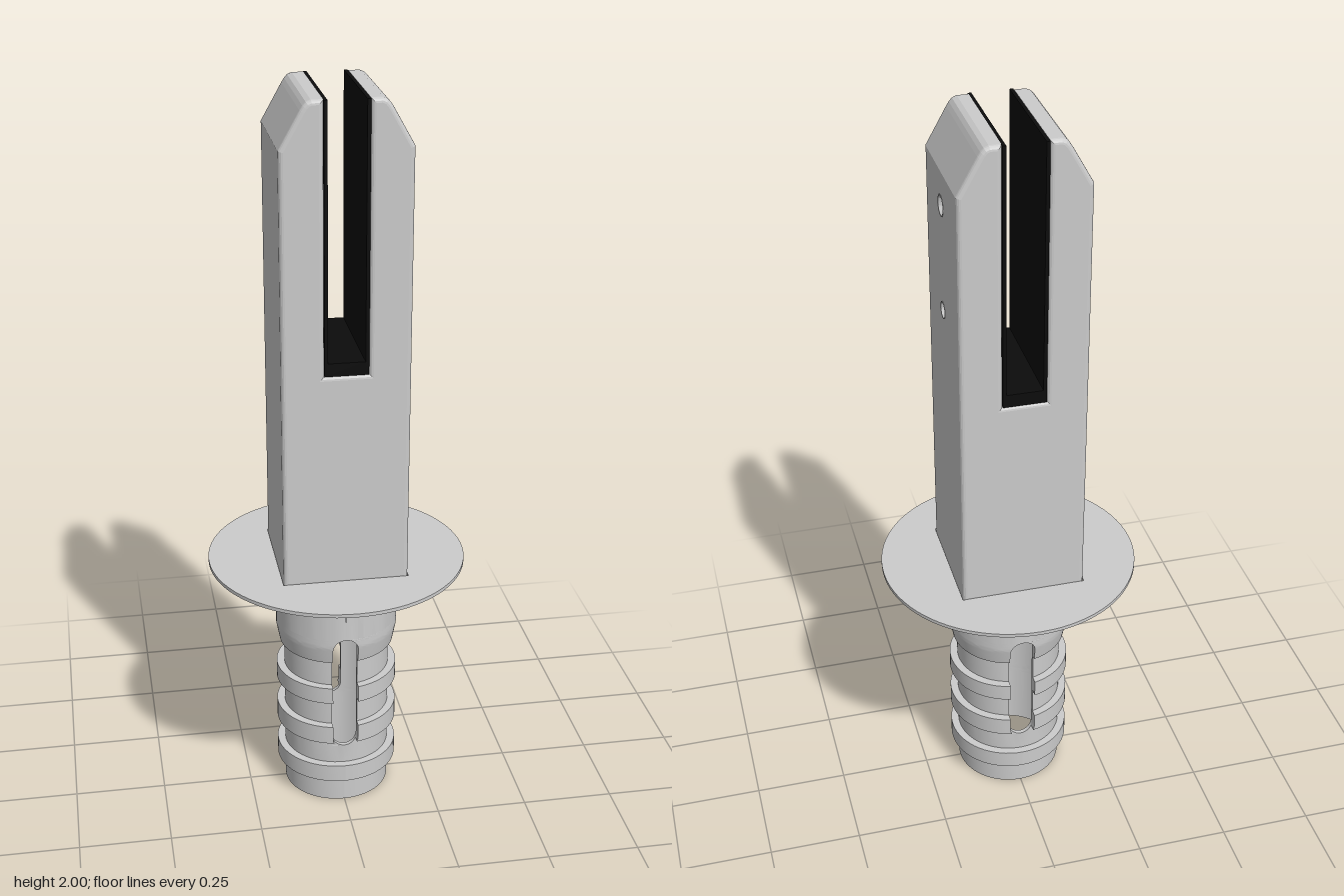
import * as THREE from 'three';
import { mergeGeometries, toCreasedNormals } from 'three/addons/utils/BufferGeometryUtils.js';

const H = 0.1675;              // half width of the square post
const FLOOR = 0.705;           // bottom of the post
const SHOULDER = 1.88;         // where the chamfer starts
const SCREWS = [{ y: 1.79, r: 0.028 }, { y: 1.505, r: 0.023 }];

const grey = new THREE.MeshStandardMaterial({ color: 0xcccccc });
const greyDouble = new THREE.MeshStandardMaterial({ color: 0xcccccc, side: THREE.DoubleSide });
const black = new THREE.MeshStandardMaterial({ color: 0x0c0c0c });

const polygon = (pts) => new THREE.Shape(pts.map(([x, y]) => new THREE.Vector2(x, y)));
const mirrorX = (pts) => [...pts, ...pts.slice().reverse().map(([x, y]) => [-x, y])];
const circle = (x, y, r) => new THREE.Path().absarc(x, y, r, 0, Math.PI * 2, true);

function add(parent, name, geometry, material) {
  const mesh = new THREE.Mesh(geometry, material);
  mesh.name = name;
  parent.add(mesh);
  return mesh;
}

// Forked square post: front profile with softened edges, +x face pierced for the screws
function postGeometry() {
  const b = 0.012;
  const half = [[H, FLOOR], [H, SHOULDER], [0.114, 1.975], [0.107, 1.986], [0.099, 1.995],
    [0.087, 2], [0.057, 2], [0.057, 1.3]];
  const body = new THREE.ExtrudeGeometry(polygon(mirrorX(half)), {
    depth: 2 * (H - b), bevelThickness: b, bevelSize: b, bevelOffset: -b, bevelSegments: 4,
  }).translate(0, 0, b - H);

  // drop the plain +x face
  const p = (body.index ? body.toNonIndexed() : body).attributes.position;
  const kept = [];
  for (let i = 0; i < p.count; i += 3) {
    if ([0, 1, 2].every((k) => p.getX(i + k) > H - 1e-5)) continue;
    for (let k = 0; k < 3; k++) kept.push(p.getX(i + k), p.getY(i + k), p.getZ(i + k));
  }
  const shell = new THREE.BufferGeometry();
  shell.setAttribute('position', new THREE.Float32BufferAttribute(kept, 3));

  // replace it by one with holes
  const w = H - b;
  const panel = polygon([[-w, FLOOR], [w, FLOOR], [w, SHOULDER], [-w, SHOULDER]]);
  SCREWS.forEach((s) => panel.holes.push(circle(0, s.y, s.r)));
  const face = new THREE.ShapeGeometry(panel, 16).rotateY(Math.PI / 2).translate(H, 0, 0).toNonIndexed();
  face.deleteAttribute('normal');
  face.deleteAttribute('uv');
  const merged = mergeGeometries([shell, face]);
  merged.computeVertexNormals();
  return merged;
}

// Countersunk hole with a hex socket screw, facing +x
function addScrew(parent, { y, r }) {
  const screw = new THREE.Group();
  screw.name = 'clampScrew';
  const seat = [[r, -0.002], [r, 0.001], [r * 0.9, 0.001], [r * 0.68, -0.01], [r * 0.68, -0.03], [0, -0.03]]
    .map(([a, c]) => new THREE.Vector2(a, c));
  const seatGeo = toCreasedNormals(new THREE.LatheGeometry(seat, 32), 0.5).rotateZ(-Math.PI / 2);
  add(screw, 'screwSeat', seatGeo, greyDouble);

  const head = new THREE.Shape().absarc(0, 0, r * 0.6, 0, Math.PI * 2, false);
  const hex = [...Array(6).keys()].map((i) => {
    const a = -i * Math.PI / 3;
    return new THREE.Vector2(Math.cos(a) * r * 0.36, Math.sin(a) * r * 0.36);
  });
  head.holes.push(new THREE.Path(hex));
  const headGeo = new THREE.ExtrudeGeometry(head, { depth: 0.018, bevelEnabled: false, curveSegments: 16 })
    .rotateY(Math.PI / 2).translate(-0.03, 0, 0);
  add(screw, 'screwHead', headGeo, grey);
  screw.position.set(H, y, 0);
  parent.add(screw);
}

// Ribbed hollow spigot with a round-ended slot through front and back
function addSpigot(parent) {
  const slot = { low: 0.18, high: 0.53, w: 0.035 };
  const inner = 0.134, neck = 0.146;
  const slotHalf = (y) => {
    if (y <= slot.low || y >= slot.high) return 0;
    const d = Math.max(slot.low + slot.w - y, y - (slot.high - slot.w), 0);
    return Math.sqrt(Math.max(slot.w ** 2 - d ** 2, 0));
  };
  // heights that shape the round ends
  const cuts = [];
  for (let i = 0; i <= 8; i++) {
    const d = slot.w * (1 - Math.cos(i * Math.PI / 16));
    cuts.push(slot.low + d, slot.high - d);
  }
  const refine = (pts) => pts.flatMap(([r, y], i) => {
    if (!i) return [[r, y]];
    const [r0, y0] = pts[i - 1];
    const between = cuts.filter((c) => (c - y0) * (c - y) < -1e-9)
      .sort((m, n) => (m - n) * Math.sign(y - y0))
      .map((c) => [r0 + (r - r0) * (c - y0) / (y - y0), c]);
    return [...between, [r, y]];
  });

  const outer = [[neck, 0]];
  for (const [y0, y1] of [[0.075, 0.125], [0.2, 0.253], [0.33, 0.378]]) {
    outer.push([neck, y0], [H, y0], [H, y1], [neck, y1]);
  }
  outer.push([neck, 0.455], [0.158, 0.455], [0.162, 0.475], [H, 0.505], [H, FLOOR]);
  const outside = refine(outer);
  const loop = [[inner, 0], ...outside, ...refine([[inner, FLOOR], [inner, 0]])];

  // half lathe, its ends pulled back from the slot
  const wall = new THREE.LatheGeometry(loop.map(([r, y]) => new THREE.Vector2(r, y)), 32, 0, Math.PI);
  const p = wall.attributes.position;
  for (let i = 0; i < p.count; i++) {
    const x = p.getX(i), z = p.getZ(i), r = Math.hypot(x, z);
    const a = Math.asin(slotHalf(p.getY(i)) / r);
    const t = a + (Math.PI - 2 * a) * Math.atan2(Math.max(x, 0), z) / Math.PI;
    p.setXYZ(i, r * Math.sin(t), p.getY(i), r * Math.cos(t));
  }
  const wallGeo = toCreasedNormals(wall, 0.5);

  // slot lining between inner and outer wall
  const rim = outside.filter(([, y]) => y >= slot.low && y <= slot.high);
  const pos = [], index = [];
  rim.forEach(([r, y], i) => {
    const w = slotHalf(y);
    pos.push(w, y, Math.sqrt(r * r - w * w), w, y, Math.sqrt(inner * inner - w * w));
    const k = 2 * i;
    if (i) index.push(k - 2, k - 1, k, k - 1, k + 1, k);
  });
  let lining = new THREE.BufferGeometry();
  lining.setAttribute('position', new THREE.Float32BufferAttribute(pos, 3));
  lining.setIndex(index);
  lining = lining.toNonIndexed();
  lining.computeVertexNormals();

  const spigot = new THREE.Group();
  spigot.name = 'spigot';
  for (const turn of [0, Math.PI]) {
    add(spigot, 'spigotWall', wallGeo, grey).rotation.y = turn;
    for (const s of [1, -1]) {
      const mesh = add(spigot, 'slotLining', lining, greyDouble);
      mesh.scale.x = s;
      mesh.rotation.y = turn;
    }
  }
  parent.add(spigot);
}

export function createModel() {
  const model = new THREE.Group();
  model.name = 'glassClampPost';

  add(model, 'post', postGeometry(), grey);
  SCREWS.forEach((s) => addScrew(model, s));

  // U-shaped rubber liner in the fork
  const liner = polygon(mirrorX([[0.057, 1.3], [0.057, 1.999], [0.048, 1.999], [0.048, 1.335]]));
  add(model, 'rubberLiner', new THREE.ExtrudeGeometry(liner, { depth: 2 * H, bevelEnabled: false })
    .translate(0, 0, -H), black);

  // round cover plate with a square opening
  const plate = new THREE.Shape().absarc(0, 0, 0.35, 0, Math.PI * 2, false);
  const q = H + 0.001;
  plate.holes.push(new THREE.Path([[-q, -q], [-q, q], [q, q], [q, -q]].map(([x, y]) => new THREE.Vector2(x, y))));
  const plateGeo = new THREE.ExtrudeGeometry(plate, { depth: 0.01, bevelEnabled: false, curveSegments: 40 })
    .rotateX(-Math.PI / 2).translate(0, 0.705, 0);
  add(model, 'coverPlate', toCreasedNormals(plateGeo, 0.5), grey);

  addSpigot(model);
  return model;
}
